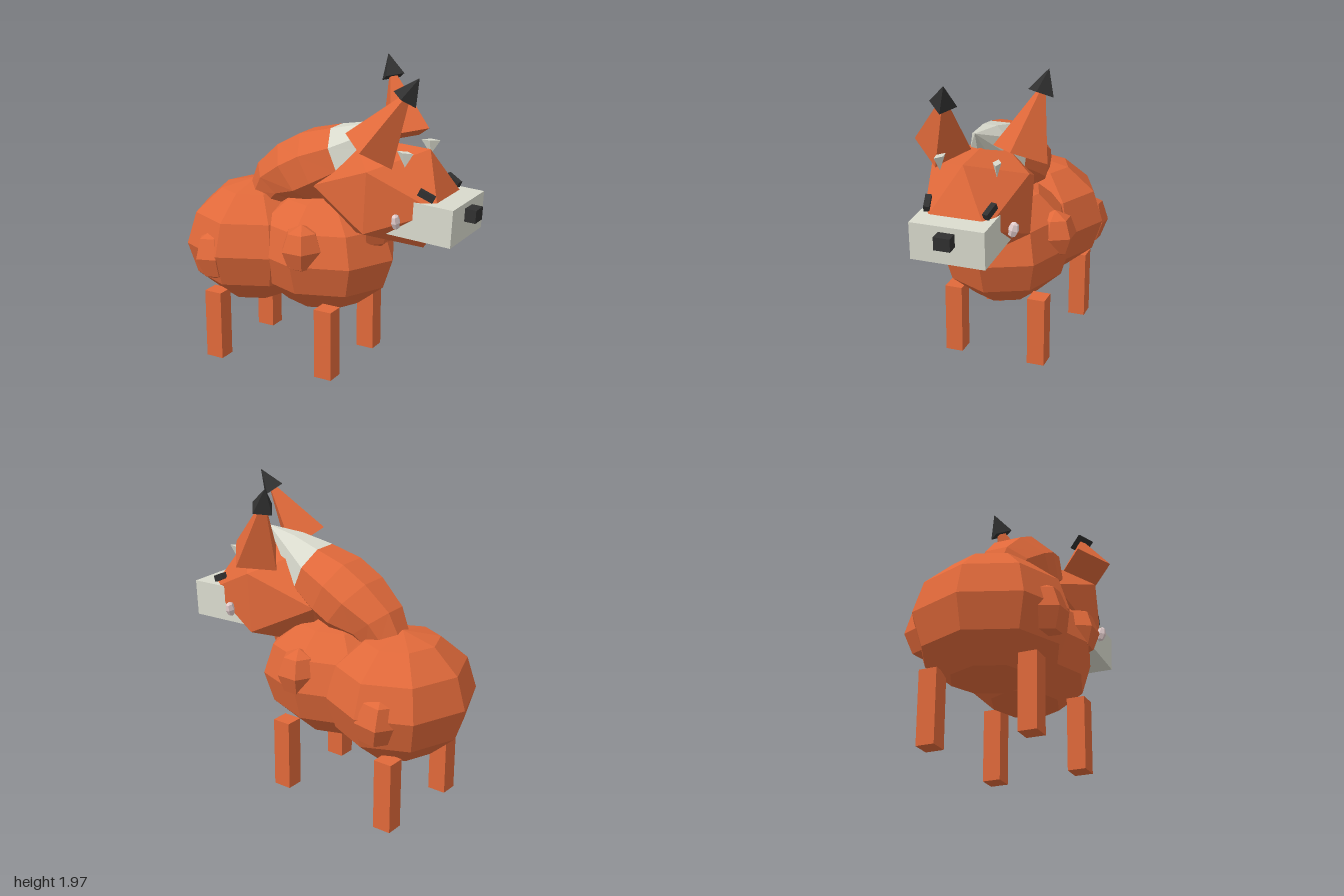
import * as THREE from 'three';

const mat = (color) => new THREE.MeshStandardMaterial({ color, flatShading: true });

export function createModel() {
  const model = new THREE.Group();
  const fur = mat(0xe0693a);
  const pale = mat(0xd9dacd);
  const dark = mat(0x303030);
  const pink = mat(0xe3cdcd);

  function add(name, geometry, material, pos = [0, 0, 0], scale = [1, 1, 1], rot = [0, 0, 0]) {
    const mesh = new THREE.Mesh(geometry, material);
    mesh.name = name;
    mesh.position.set(...pos);
    mesh.scale.set(...scale);
    mesh.rotation.set(...rot);
    model.add(mesh);
    return mesh;
  }

  // Body: two faceted balls and a short neck
  const ball = new THREE.SphereGeometry(1, 8, 6);
  const knob = new THREE.SphereGeometry(1, 6, 4);
  add('hindBody', ball, fur, [-0.55, 0.755, 0], [0.45, 0.405, 0.49]);
  add('frontBody', ball, fur, [-0.05, 0.762, 0], [0.49, 0.385, 0.42]);
  add('neck', ball, fur, [0.27, 0.96, 0], [0.165, 0.16, 0.165], [0, Math.PI / 8, 0]);

  // Head, muzzle and nose, all tipped slightly forward
  const tip = [0, 0, -0.05];
  add('head', new THREE.IcosahedronGeometry(1, 0), fur, [0.4, 1.205, 0], [0.494, 0.364, 0.3585], tip);
  add('muzzle', new THREE.BoxGeometry(0.47, 0.23, 0.455), pale, [0.69, 1.12, 0], [1, 1, 1], tip);
  add('nose', new THREE.BoxGeometry(0.1, 0.08, 0.1), dark, [0.947, 1.148, 0], [1, 1, 1], tip);

  // Mirrored parts: legs, hips, shoulders and face details
  const leg = new THREE.BoxGeometry(0.12, 0.455, 0.113);
  const spike = new THREE.ConeGeometry(1, 1, 4);
  for (const s of [1, -1]) {
    const side = s > 0 ? 'left' : 'right';
    add(side + 'FrontLeg', leg, fur, [0.13, 0.25, s * 0.278]);
    add(side + 'HindLeg', leg, fur, [-0.67, 0.23, s * 0.307]);
    add(side + 'Shoulder', knob, fur, [-0.015, 0.86, s * 0.33], [0.135, 0.155, 0.14]);
    add(side + 'Hip', knob, fur, [-0.625, 0.725, s * 0.35], [0.15, 0.175, 0.16], [0, 0, 0.12]);
    add(side + 'Eye', new THREE.BoxGeometry(0.1, 0.04, 0.035), dark,
      [0.745, 1.275, s * 0.19], [1, 1, 1], [0, s * 0.25, -0.45]);
    add(side + 'Brow', spike, pale, [0.595, 1.465, s * 0.175], [0.06, 0.09, 0.025], [Math.PI, s * 0.2, 0]);
    add(side + 'Cheek', knob, pink, [0.59, 1.115, s * 0.272], [0.028, 0.052, 0.035], [s * 0.25, 0, 0]);
  }

  // Ears: square pyramids with dark tips, each leaning its own way
  function ear(name, base, top, corner) {
    const b = new THREE.Vector3(...base);
    const up = new THREE.Vector3(...top).sub(b);
    const length = up.length();
    up.normalize();
    const z = new THREE.Vector3().crossVectors(new THREE.Vector3(...corner), up).normalize();
    const x = new THREE.Vector3().crossVectors(up, z);
    const group = new THREE.Group();
    group.name = name;
    group.position.copy(b);
    group.quaternion.setFromRotationMatrix(new THREE.Matrix4().makeBasis(x, up, z));
    const flap = new THREE.Mesh(new THREE.ConeGeometry(0.175, 0.45, 4).translate(0, 0.225, 0), fur);
    flap.name = name + 'Flap';
    const point = new THREE.Mesh(new THREE.ConeGeometry(0.082, 0.15, 4).translate(0, length - 0.075, 0), dark);
    point.name = name + 'Tip';
    group.add(flap, point);
    model.add(group);
  }
  ear('leftEar', [0.39, 1.505, 0.24], [0.65, 1.94, 0.12], [0.3, -0.19, -0.02]);
  ear('rightEar', [0.39, 1.5, -0.24], [0.21, 1.975, -0.35], [0.36, 0.16, 0]);

  // Tail: octagonal rings [x, y, radius, tangent angle] arching over the back
  const rings = [
    [-0.43, 1.08, 0, 1.1],
    [-0.43, 1.08, 0.15, 1.1],
    [-0.36, 1.17, 0.185, 0.9],
    [-0.2, 1.25, 0.235, 0.65],
    [-0.07, 1.32, 0.235, 0.47],
    [0.11, 1.4, 0.195, 0.4],
    [0.28, 1.51, 0.115, 0.35],
    [0.49, 1.63, 0, 0.35],
  ];
  function tailPart(list) {
    const n = list.length - 1;
    const geo = new THREE.CylinderGeometry(1, 1, 1, 8, n, true, Math.PI / 8);
    const p = geo.attributes.position;
    for (let i = 0; i < p.count; i++) {
      const [cx, cy, r, a] = list[Math.round((p.getY(i) + 0.5) * n)];
      const u = p.getX(i) * r;
      p.setXYZ(i, cx + Math.sin(a) * u, cy - Math.cos(a) * u, p.getZ(i) * r);
    }
    geo.computeVertexNormals();
    return geo;
  }
  add('tail', tailPart(rings.slice(0, 6)), fur);
  add('tailTip', tailPart(rings.slice(5)), pale);

  return model;
}
